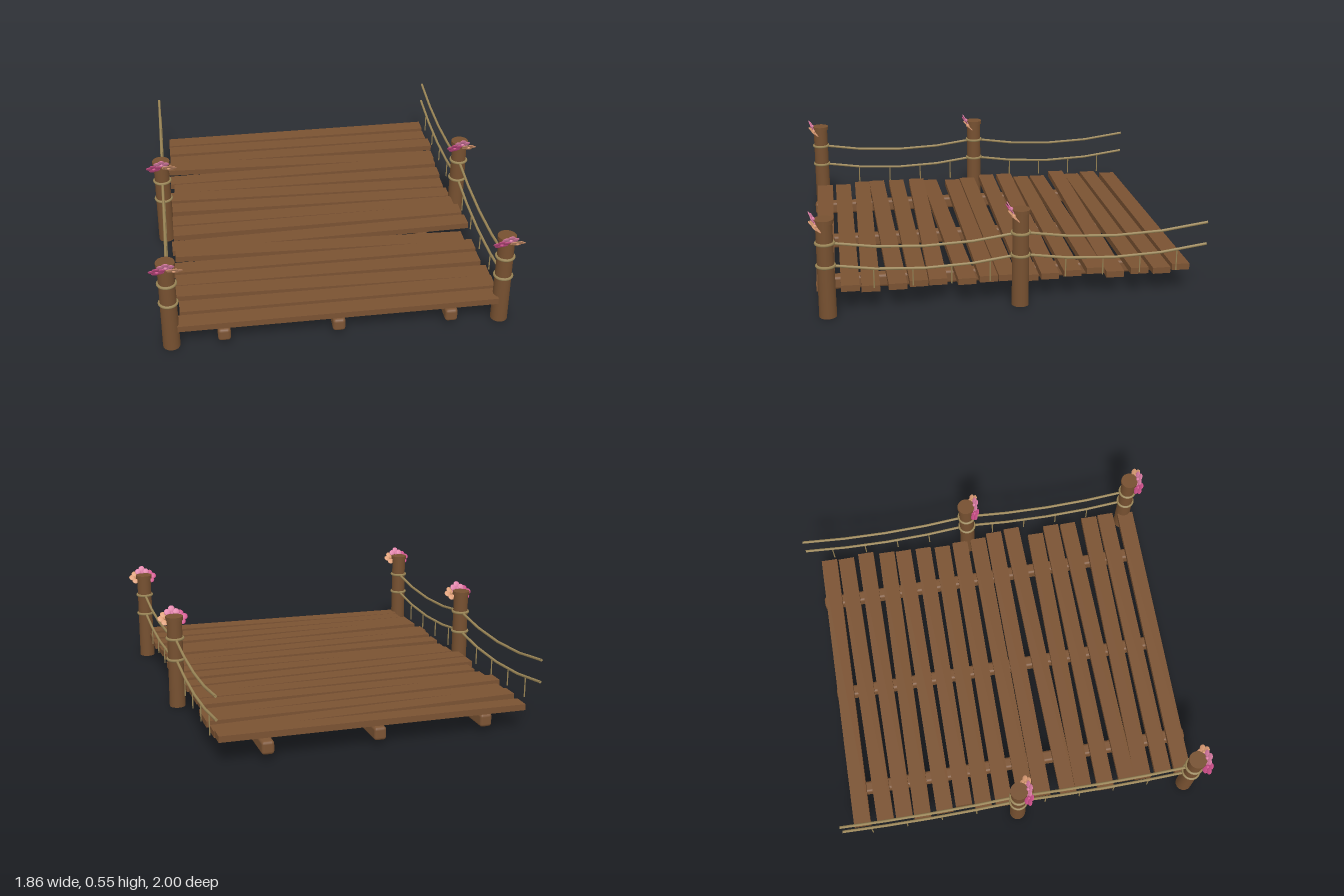
import * as THREE from 'three';
import { RoundedBoxGeometry } from 'three/addons/geometries/RoundedBoxGeometry.js';

const mat = (name, color) => {
  const m = new THREE.MeshStandardMaterial({ color });
  m.name = name;
  return m;
};

export function createModel() {
  const root = new THREE.Group();
  root.name = 'ropeBridge';
  const plankWood = mat('plank wood', 0x7a5232);
  const postWood = mat('post wood', 0x765030);
  const beamWood = mat('beam wood', 0x7c5434);
  const ropeMat = mat('rope', 0x9a8556);
  const rose = mat('rose petals', 0xd0508c);
  const pink = mat('pink petals', 0xe07fa8);
  const peach = mat('peach petals', 0xdc9c74);

  const add = (parent, name, geo, material, x = 0, y = 0, z = 0) => {
    const m = new THREE.Mesh(geo, material);
    m.name = name;
    m.position.set(x, y, z);
    parent.add(m);
    return m;
  };

  // Three long beams under the deck
  for (const x of [-0.58, 0, 0.58])
    add(root, 'beam', new RoundedBoxGeometry(0.065, 0.07, 1.92, 2, 0.016), beamWood, x, 0.07, 0.015);

  // Uneven planks: left x, left z, right x, right z, right-end rise
  const planks = [
    [-0.80, -0.90, 0.82, -0.88, 0.010], [-0.80, -0.77, 0.82, -0.78, -0.004],
    [-0.80, -0.665, 0.83, -0.66, 0.006], [-0.82, -0.565, 0.82, -0.535, -0.010],
    [-0.805, -0.44, 0.805, -0.435, 0.010], [-0.785, -0.33, 0.805, -0.315, 0.003],
    [-0.82, -0.225, 0.80, -0.20, -0.008], [-0.825, -0.11, 0.81, -0.09, -0.006],
    [-0.805, 0.015, 0.81, 0.02, 0.002], [-0.805, 0.11, 0.83, 0.12, 0.010],
    [-0.815, 0.255, 0.84, 0.23, 0.008], [-0.80, 0.34, 0.785, 0.37, -0.009],
    [-0.83, 0.465, 0.82, 0.47, 0.004], [-0.805, 0.59, 0.82, 0.575, -0.006],
    [-0.81, 0.68, 0.835, 0.71, -0.002], [-0.795, 0.80, 0.835, 0.81, 0.006],
    [-0.81, 0.91, 0.82, 0.93, 0.011],
  ];
  for (const [x0, z0, x1, z1, rise] of planks) {
    const p = add(root, 'plank', new THREE.BoxGeometry(Math.hypot(x1 - x0, z1 - z0), 0.033, 0.092),
      plankWood, (x0 + x1) / 2, 0.129, (z0 + z1) / 2);
    p.rotation.set(0, -Math.atan2(z1 - z0, x1 - x0), Math.atan2(2 * rise, x1 - x0));
  }

  // Flat five-petal blossom
  const petalGeo = new THREE.SphereGeometry(0.019, 10, 6).scale(1, 1, 0.2);
  const blossom = (parent, material, x, y, z, tilt, turn) => {
    const f = new THREE.Group();
    f.name = 'blossom';
    f.position.set(x, y, z);
    f.rotation.set(tilt, 0, turn);
    for (let i = 0; i < 5; i++) {
      const a = (i / 5) * Math.PI * 2 + Math.PI / 2;
      add(f, 'petal', petalGeo, material, Math.cos(a) * 0.025, Math.sin(a) * 0.025, 0);
    }
    add(f, 'blossomCentre', new THREE.SphereGeometry(0.011, 8, 6), material);
    parent.add(f);
  };

  // Posts with caps, rope bindings and blossoms
  const postZ = [0.925, -0.037];
  for (const side of [-1, 1]) for (const z of postZ) {
    const post = new THREE.Group();
    post.name = 'post';
    post.position.set(side * 0.845, 0, z);
    add(post, 'postShaft', new THREE.CylinderGeometry(0.041, 0.044, 0.49, 16), postWood, 0, 0.245, 0);
    add(post, 'postCap', new THREE.CylinderGeometry(0.048, 0.048, 0.02, 16), postWood, 0, 0.5, 0);
    for (const y of [0.387, 0.27])
      add(post, 'ropeBinding', new THREE.TorusGeometry(0.044, 0.008, 6, 20).rotateX(Math.PI / 2), ropeMat, 0, y, 0);
    blossom(post, rose, -0.04, 0.488, 0.045, 0.6, 0.2);
    blossom(post, pink, 0.002, 0.512, 0.05, 0.5, 0);
    blossom(post, peach, 0.04, 0.487, 0.043, 0.75, -0.3);
    root.add(post);
  }

  // Sagging handrails, each span made of four straight runs
  const span = 0.963;
  const sagAt = (t) => 0.045 * 4 * t * (1 - t);
  for (const side of [-1, 1]) for (const start of postZ) {
    const x = side * 0.845;
    for (const y of [0.387, 0.27]) {
      const path = new THREE.CurvePath();
      const pt = (i) => new THREE.Vector3(x, y - sagAt(i / 4), start - (i / 4) * span);
      for (let i = 0; i < 4; i++) path.add(new THREE.LineCurve3(pt(i), pt(i + 1)));
      add(root, 'handRope', new THREE.TubeGeometry(path, 16, 0.0075, 8), ropeMat);
      add(root, 'ropeEnd', new THREE.CircleGeometry(0.0075, 8).rotateY(Math.PI), ropeMat, x, y, start - span);
    }
    // Thin hangers down to the deck edge
    for (let i = 0; i < 4; i++) {
      const t = 0.24 + i * 0.2;
      const top = 0.27 - sagAt(t), bottom = 0.135;
      add(root, 'hanger', new THREE.CylinderGeometry(0.0035, 0.0035, top - bottom, 6), ropeMat,
        x, (top + bottom) / 2, start - t * span);
    }
  }
  return root;
}
